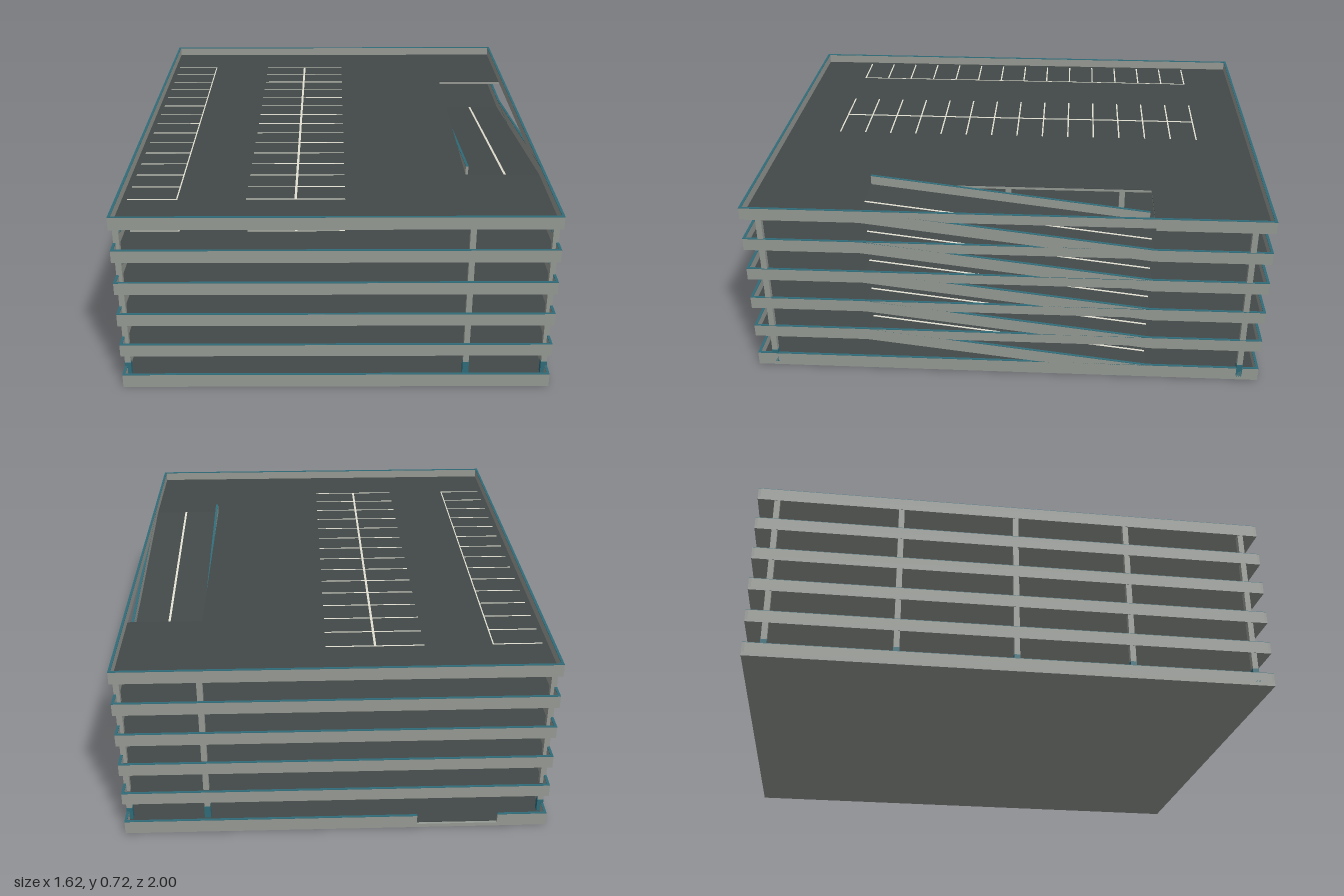
import * as THREE from 'three';

const W = 0.81, D = 1, STEP = 0.133, LEVELS = 6;   // half width, half depth, storey height
const RX = 0.51, RZ0 = -0.56, RZ1 = 0.55;          // ramp bay: inner x, low end, high end
const RAIL = 0.04, T = 0.01, CAP = 0.002;          // parapet height, thickness, coping

const mat = (name, color) => {
  const m = new THREE.MeshStandardMaterial({ color });
  m.name = name;
  return m;
};

export function createModel() {
  const concrete = mat('concrete', 0x979b95);
  const asphalt = mat('asphalt', 0x434949);
  const paint = mat('linePaint', 0xe2e0d2);
  const teal = mat('tealTrim', 0x2f6d7a);
  const model = new THREE.Group();
  model.name = 'parkingGarage';

  const add = (parent, name, geo, material) => {
    const m = new THREE.Mesh(geo, material);
    m.name = name;
    parent.add(m);
    return m;
  };
  // box given by its bounds
  const box = (parent, name, material, x0, x1, y0, y1, z0, z1) => {
    const m = add(parent, name, new THREE.BoxGeometry(x1 - x0, y1 - y0, z1 - z0), material);
    m.position.set((x0 + x1) / 2, (y0 + y1) / 2, (z0 + z1) / 2);
    return m;
  };
  // flat floor outline, notched for the ramp bay where needed
  const floor = (parent, name, material, y0, y1, inset, notched) => {
    const w = W - inset, d = D - inset;
    const pts = [[-w, -d], [w, -d]];
    if (notched) pts.push([w, -RZ1], [RX, -RZ1], [RX, -RZ0], [w, -RZ0]);
    pts.push([w, d], [-w, d]);
    const shape = new THREE.Shape(pts.map(p => new THREE.Vector2(...p)));
    const geo = new THREE.ExtrudeGeometry(shape, { depth: y1 - y0, bevelEnabled: false });
    geo.rotateX(-Math.PI / 2).translate(0, y0, 0);
    add(parent, name, geo, material);
  };
  // parapet wall with coping
  const wall = (parent, name, x0, x1, y, z0, z1) => {
    box(parent, name, concrete, x0, x1, y, y + RAIL - CAP, z0, z1);
    box(parent, name + 'Coping', teal, x0, x1, y + RAIL - CAP, y + RAIL, z0, z1);
  };
  // sloping slab between the ramp ends; y0 and y1 are measured from the upper deck
  const slope = (parent, name, material, x0, x1, deck, y0, y1) => {
    const a = deck + y0, b = deck + y1;
    const shape = new THREE.Shape([
      new THREE.Vector2(-RZ1, a), new THREE.Vector2(-RZ0, a - STEP),
      new THREE.Vector2(-RZ0, b - STEP), new THREE.Vector2(-RZ1, b),
    ]);
    const geo = new THREE.ExtrudeGeometry(shape, { depth: x1 - x0, bevelEnabled: false });
    geo.rotateY(Math.PI / 2).translate(x0, 0, 0);
    add(parent, name, geo, material);
  };

  for (let i = 0; i < LEVELS; i++) {
    const level = new THREE.Group();
    level.name = 'level' + i;
    model.add(level);
    const deck = 0.015 + STEP * i;

    // floor slab and driving surface
    floor(level, 'slab', concrete, i ? deck - T : 0, deck, 0, i > 0);
    floor(level, 'deckSurface', asphalt, deck, deck + 0.002, T, i > 0);

    // perimeter parapets, with a vehicle entrance at the back of the ground floor
    wall(level, 'frontParapet', -W, W, deck, D - T, D);
    if (i) wall(level, 'backParapet', -W, W, deck, -D, -D + T);
    else {
      wall(level, 'backParapet', -W, -0.62, deck, -D, -D + T);
      wall(level, 'backParapet', -0.31, W, deck, -D, -D + T);
    }
    for (const s of [-1, 1]) {
      const x = s * (W - T / 2);
      wall(level, 'sideParapet', x - T / 2, x + T / 2, deck, -D + T, D - T);
    }

    // parking bay lines
    const y0 = deck + 0.002, y1 = deck + 0.003;
    for (let k = 0; k < 15; k++) {
      const z = -0.778 + k * 0.1107;
      box(level, 'bayLine', paint, -0.78, -0.595, y0, y1, z - 0.003, z + 0.003);
      box(level, 'bayLine', paint, -0.335, 0.035, y0, y1, z - 0.003, z + 0.003);
    }
    box(level, 'sideRowLine', paint, -0.597, -0.592, y0, y1, -0.781, 0.775);
    box(level, 'middleRowLine', paint, -0.155, -0.146, y0, y1, -0.781, 0.775);

    // ramp down to the level below
    if (i) {
      const ramp = new THREE.Group();
      ramp.name = 'ramp';
      level.add(ramp);
      slope(ramp, 'rampSlab', concrete, RX, W, deck, -T, 0);
      slope(ramp, 'rampSurface', asphalt, RX + T, W - T, deck, 0, 0.002);
      slope(ramp, 'rampLine', paint, 0.66, 0.669, deck, 0.002, 0.003);
      for (const x of [RX, W - T]) {
        slope(ramp, 'rampRail', concrete, x, x + T, deck, 0, RAIL - CAP);
        slope(ramp, 'rampRailCoping', teal, x, x + T, deck, RAIL - CAP, RAIL);
      }
    }

    // columns up to the next slab, with trim at the ground floor bases
    if (i < LEVELS - 1) {
      const outer = [0.93, 0.45, 0.005, -0.445, -0.925];
      const inner = [0.615, 0.17, -0.275, -0.72];
      const rows = [[-0.798, outer], [-0.15, inner], [0.498, outer], [0.798, [0.93, -0.925]]];
      const r = 0.011, top = deck + STEP - T;
      for (const [x, zs] of rows) for (const z of zs) {
        box(level, 'column', concrete, x - r, x + r, deck, top, z - r, z + r);
        if (!i) box(level, 'columnBase', teal, x - r - 0.001, x + r + 0.001, deck, 0.07, z - r - 0.001, z + r + 0.001);
      }
    }
  }
  return model;
}
